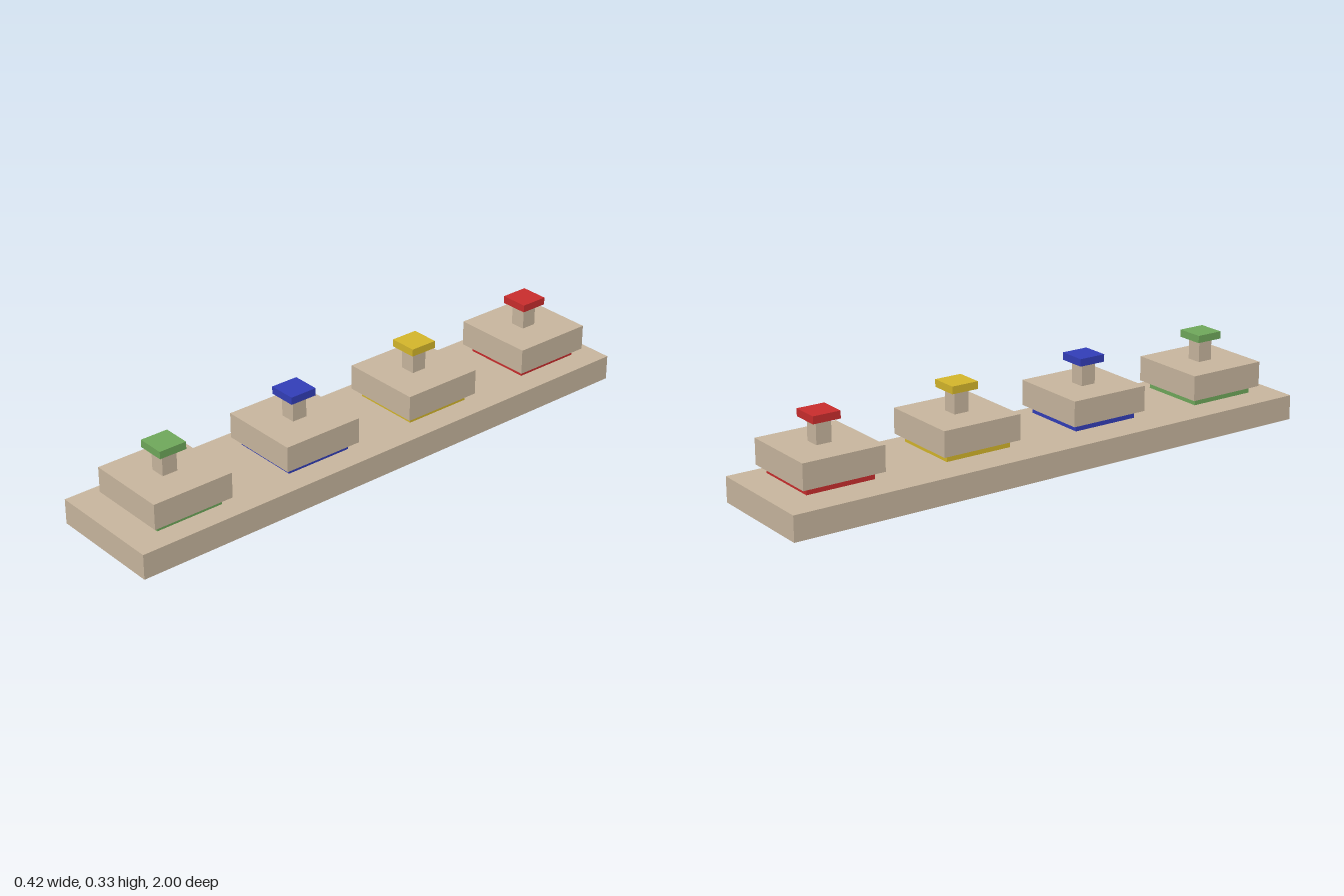
import * as THREE from 'three';

const mat = (color) => new THREE.MeshStandardMaterial({ color });
const wood = mat(0xc8b69e);
const green = mat(0x6fa85b);
const blue = mat(0x323eb8);
const yellow = mat(0xd4b62b);
const red = mat(0xc92d2d);

// Box standing on height y; an optional second material covers its underside
function slab(name, w, h, d, y, material, under) {
  const mats = under ? [material, material, material, under, material, material] : material;
  const mesh = new THREE.Mesh(new THREE.BoxGeometry(w, h, d), mats);
  mesh.position.y = y + h / 2;
  mesh.name = name;
  return mesh;
}

// One block with a coloured foot, a square stem and a coloured cap
function createPiece(name, color) {
  const piece = new THREE.Group();
  piece.name = name;
  piece.add(
    slab('foot', 0.246, 0.026, 0.246, 0, color),
    slab('block', 0.295, 0.089, 0.295, 0.026, wood),
    slab('stem', 0.055, 0.078, 0.055, 0.115, wood),
    slab('cap', 0.099, 0.026, 0.099, 0.193, color),
  );
  return piece;
}

export function createModel() {
  const model = new THREE.Group();
  model.name = 'pegBoard';

  // Long board on a thin pad, both with red undersides
  model.add(
    slab('basePad', 0.352, 0.015, 1.667, 0, green, red),
    slab('baseBoard', 0.422, 0.088, 2, 0.015, wood, red),
  );

  // Row of four pieces, the front one sitting slightly lower
  const pieces = [
    ['greenPiece', green, 0.107, 0.77],
    ['bluePiece', blue, 0.114, 0.256],
    ['yellowPiece', yellow, 0.114, -0.259],
    ['redPiece', red, 0.114, -0.773],
  ];
  for (const [name, color, y, z] of pieces) {
    const piece = createPiece(name, color);
    piece.position.set(0.012, y, z);
    model.add(piece);
  }
  return model;
}
